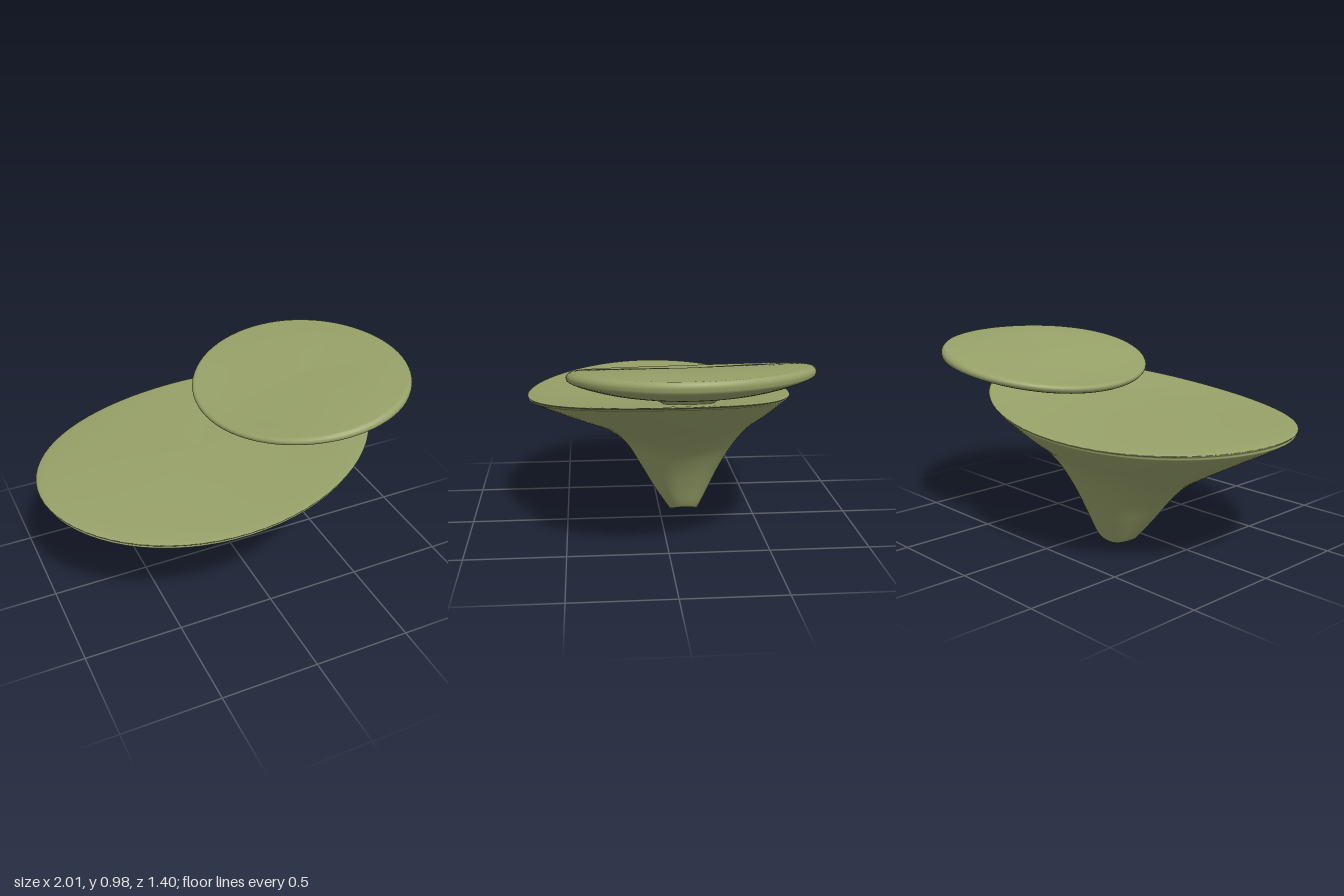
import * as THREE from 'three';

const SEGMENTS = 72;
const STEPS = 6; // rings between two profile points

// Closed skin through oval rings. Each profile row holds the ring's four extremes:
// [left x, y, right x, y, front z, y, back z, y]; rows run from the bottom centre to the top centre.
function loftOval(rows, { shear = 0, squareUntil = 0 } = {}) {
  const splines = [0, 2, 4, 6].map(k =>
    new THREE.SplineCurve(rows.map(r => new THREE.Vector2(r[k], r[k + 1]))));
  const count = (rows.length - 1) * STEPS;
  const positions = [], index = [];
  for (let i = 0; i <= count; i++) {
    const t = i / count;
    const [l, r, f, b] = splines.map(s => s.getPoint(t));
    const cx = (l.x + r.x) / 2, rx = (r.x - l.x) / 2;
    const cz = (f.x + b.x) / 2, rz = (f.x - b.x) / 2;
    // the foot is squarish and turns oval further up
    const power = squareUntil ? THREE.MathUtils.lerp(0.65, 1, Math.min(1, t / squareUntil)) : 1;
    for (let j = 0; j < SEGMENTS; j++) {
      const a = (j / SEGMENTS) * Math.PI * 2;
      const c = Math.sign(Math.cos(a)) * Math.abs(Math.cos(a)) ** power;
      const s = Math.sign(Math.sin(a)) * Math.abs(Math.sin(a)) ** power;
      const mid = (f.y + b.y) / 2 + ((f.y - b.y) / 2) * s;
      const y = mid + ((r.y - l.y) / 2) * c + ((r.y + l.y) / 2 - mid) * c * c;
      positions.push(cx + rx * c + shear * rz * s, y, cz + rz * s);
      if (i === count) continue;
      const p = i * SEGMENTS + j, q = i * SEGMENTS + (j + 1) % SEGMENTS;
      index.push(p, p + SEGMENTS, q, q, p + SEGMENTS, q + SEGMENTS);
    }
  }
  const g = new THREE.BufferGeometry();
  g.setAttribute('position', new THREE.Float32BufferAttribute(positions, 3));
  g.setIndex(index);
  g.computeVertexNormals();
  return g;
}

export function createModel() {
  const group = new THREE.Group();
  group.name = 'shelfFungus';
  const olive = new THREE.MeshStandardMaterial({ color: 0x97a168 });
  olive.name = 'olive green';

  // Large cap flaring out of an off-centre stem
  const lowerRows = [
    [-0.14, 0.005, -0.14, 0.005, -0.125, 0.005, -0.125, 0.005],
    [-0.22, 0.01, -0.04, 0.035, -0.06, 0.003, -0.195, 0.003],
    [-0.25, 0.03, -0.005, 0.06, -0.045, 0.02, -0.215, 0.02],
    [-0.34, 0.14, 0.05, 0.18, 0.03, 0.13, -0.27, 0.13],
    [-0.43, 0.25, 0.12, 0.31, 0.10, 0.25, -0.33, 0.25],
    [-0.54, 0.35, 0.21, 0.43, 0.19, 0.39, -0.41, 0.38],
    [-0.68, 0.435, 0.35, 0.54, 0.32, 0.485, -0.49, 0.48],
    [-0.84, 0.525, 0.52, 0.65, 0.5, 0.56, -0.58, 0.555],
    [-0.98, 0.605, 0.69, 0.765, 0.67, 0.635, -0.66, 0.63],
    [-1.0, 0.63, 0.708, 0.785, 0.69, 0.655, -0.68, 0.655],
    [-0.97, 0.653, 0.68, 0.79, 0.66, 0.668, -0.65, 0.668],
    [-0.57, 0.665, 0.27, 0.715, 0.34, 0.676, -0.33, 0.676],
    [-0.15, 0.68, -0.15, 0.68, 0.005, 0.68, 0.005, 0.68],
  ];
  const lowerCap = new THREE.Mesh(loftOval(lowerRows, { squareUntil: 0.45 }), olive);
  lowerCap.name = 'lowerCapAndStem';

  // Small tilted cap resting on the large one by a short neck
  const upperRows = [
    [0.43, 0.71, 0.43, 0.71, -0.1, 0.71, -0.1, 0.71],
    [0.33, 0.72, 0.53, 0.75, 0, 0.73, -0.2, 0.73],
    [0.3, 0.755, 0.57, 0.787, 0.06, 0.763, -0.26, 0.763],
    [0.15, 0.757, 0.68, 0.82, 0.18, 0.79, -0.4, 0.79],
    [0, 0.763, 0.83, 0.853, 0.36, 0.83, -0.58, 0.83],
    [-0.07, 0.775, 0.97, 0.91, 0.46, 0.868, -0.68, 0.868],
    [-0.09, 0.795, 0.995, 0.945, 0.48, 0.89, -0.7, 0.89],
    [-0.08, 0.813, 0.985, 0.973, 0.468, 0.912, -0.688, 0.912],
    [-0.04, 0.818, 0.95, 0.975, 0.43, 0.919, -0.65, 0.919],
    [0.1, 0.84, 0.78, 0.966, 0.25, 0.92, -0.45, 0.92],
    [0.45, 0.918, 0.45, 0.918, -0.11, 0.918, -0.11, 0.918],
  ];
  const upperCap = new THREE.Mesh(loftOval(upperRows, { shear: 0.075 }), olive);
  upperCap.name = 'upperCap';

  group.add(lowerCap, upperCap);
  return group;
}
